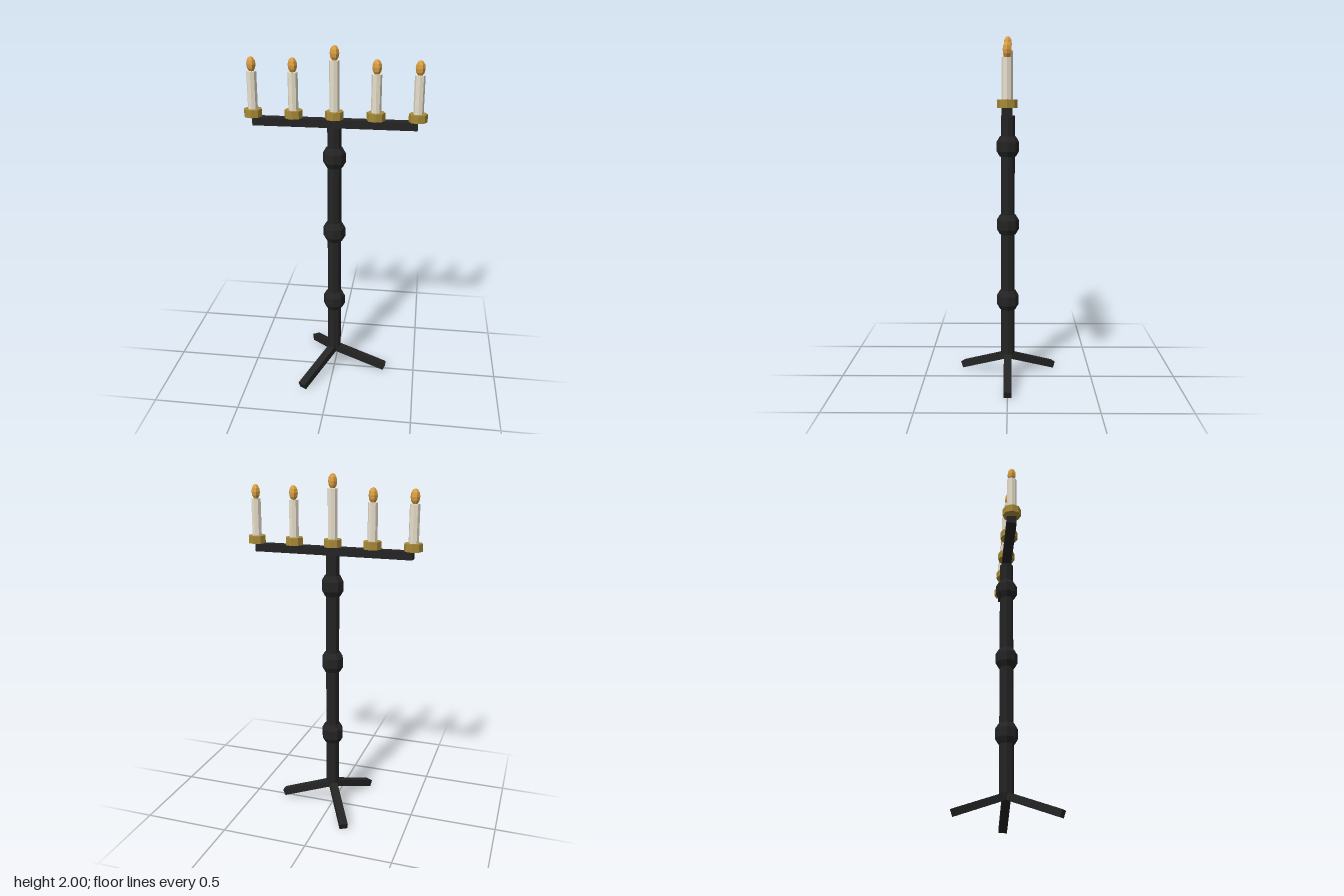
import * as THREE from 'three';

const material = (name, color) => {
  const m = new THREE.MeshStandardMaterial({ color, flatShading: true });
  m.name = name;
  return m;
};

export function createModel() {
  const iron = material('black iron', 0x242424);
  const brass = material('brass', 0xa88a38);
  const wax = material('candle wax', 0xe8e0cc);
  const fire = material('flame', 0xdca044);

  const model = new THREE.Group();
  model.name = 'candelabra';

  const add = (parent, name, geometry, mat, x, y, z) => {
    const mesh = new THREE.Mesh(geometry, mat);
    mesh.name = name;
    mesh.position.set(x, y, z);
    parent.add(mesh);
    return mesh;
  };

  // Central pole
  const bottom = 0.15, top = 1.56;
  add(model, 'pole', new THREE.CylinderGeometry(0.04, 0.04, top - bottom, 8), iron, 0, (top + bottom) / 2, 0);

  // Faceted knobs along the pole
  const profile = [[0.02, -0.06], [0.046, -0.058], [0.064, -0.027], [0.064, 0.027], [0.046, 0.058], [0.02, 0.06]]
    .map(([r, y]) => new THREE.Vector2(r, y));
  const knob = new THREE.LatheGeometry(profile, 8);
  for (const y of [0.48, 0.932, 1.385]) add(model, 'knob', knob, iron, 0, y, 0);

  // Three sloping legs; each box starts at the pole axis
  const slope = THREE.MathUtils.degToRad(21);
  const legLength = 0.34;
  const legGeometry = new THREE.BoxGeometry(legLength, 0.04, 0.046).translate(legLength / 2, 0, 0);
  for (let i = 0; i < 3; i++) {
    const pivot = new THREE.Group();
    pivot.name = 'legPivot';
    pivot.rotation.y = (i * Math.PI * 2) / 3;
    model.add(pivot);
    add(pivot, 'leg', legGeometry, iron, 0, 0.1405, 0).rotation.z = -slope;
  }

  // Crossbar
  add(model, 'crossbar', new THREE.BoxGeometry(0.91, 0.045, 0.055), iron, 0, 1.581, 0);

  // Five candles in brass cups, the middle one taller
  const cup = new THREE.CylinderGeometry(0.051, 0.051, 0.043, 8);
  const flame = new THREE.SphereGeometry(0.026, 6, 6).scale(1, 1.62, 1);
  for (let i = -2; i <= 2; i++) {
    const holder = new THREE.Group();
    holder.name = 'candleHolder';
    holder.position.set(i * 0.227, 1.604, 0);
    model.add(holder);
    const height = i === 0 ? 0.275 : 0.207;
    add(holder, 'cup', cup, brass, 0, 0.0215, 0);
    add(holder, 'candle', new THREE.CylinderGeometry(0.028, 0.028, height, 8), wax, 0, 0.042 + height / 2, 0);
    add(holder, 'flame', flame, fire, 0, 0.079 + height, 0);
  }

  return model;
}
